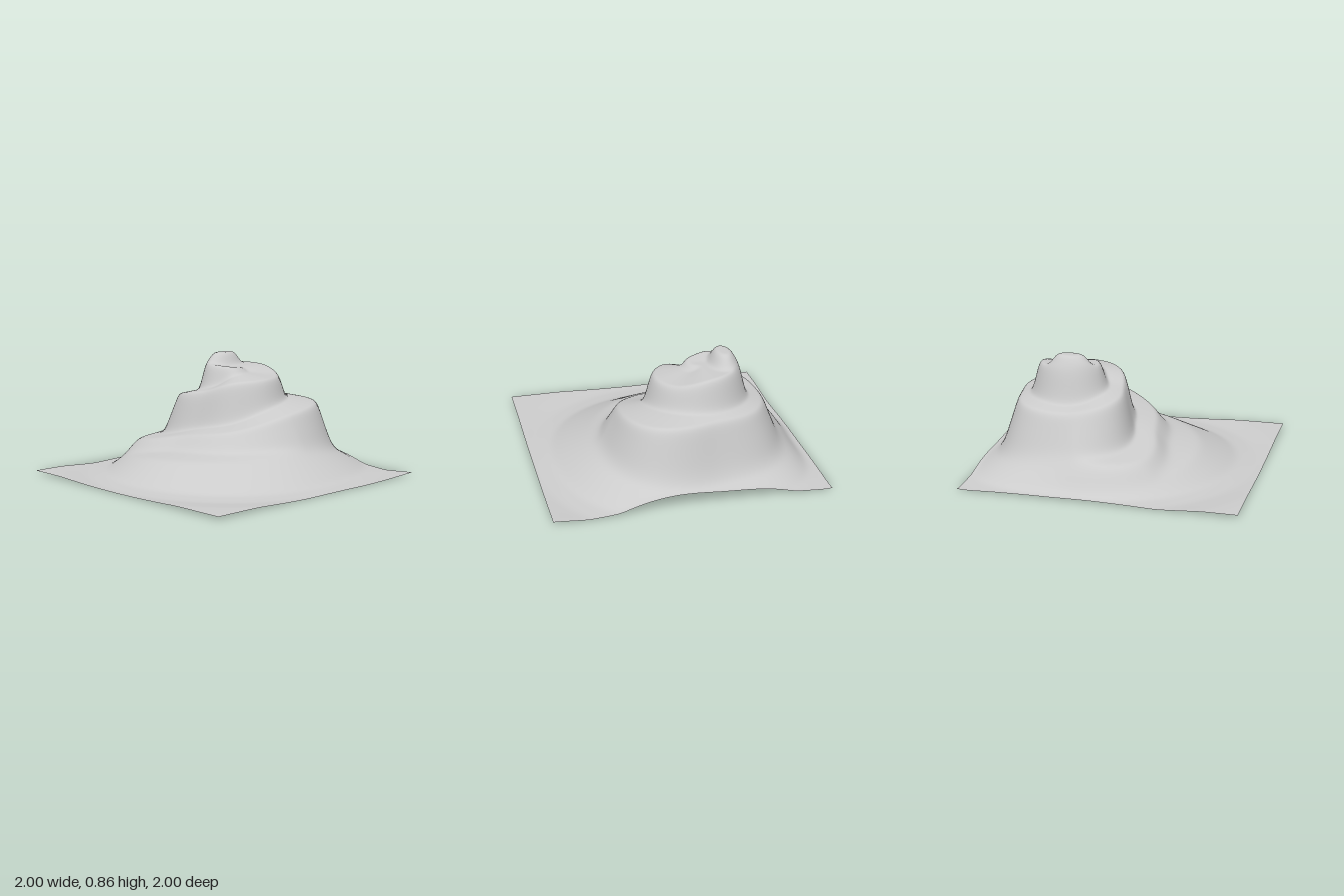
import * as THREE from 'three';

const N = 180; // grid cells per side
const CX = -0.2, CZ = -0.3; // axis of the spiral
const { clamp, lerp, smoothstep } = THREE.MathUtils;

// Spiral ledge rim as [radius, height], every 45 degrees:
// left, front-left, front, front-right, right, back-right, back, back-left
const SPIRAL = [
  // foot slopes and front apron
  [0.69, 0.08], [0.83, 0.09], [0.85, 0.157], [0.82, 0.183], [0.76, 0.2], [0.78, 0.14], [0.63, 0.115], [0.66, 0.14],
  // lower ramp
  [0.6, 0.2], [0.74, 0.21], [0.54, 0.295], [0.57, 0.355], [0.6, 0.46], [0.64, 0.505], [0.495, 0.515], [0.495, 0.51],
  // upper ramp
  [0.45, 0.505], [0.42, 0.56], [0.31, 0.605], [0.315, 0.675], [0.345, 0.695], [0.35, 0.705], [0.335, 0.765], [0.31, 0.78],
  // summit shelf
  [0.265, 0.785], [0.2, 0.79], [0.12, 0.785], [0.1, 0.775], [0.08, 0.765], [0.07, 0.765], [0.06, 0.765], [0.05, 0.765],
  [0.04, 0.765],
];
// Radius where the hill meets the ground, same directions
const BASE = [0.75, 0.93, 1.09, 1.16, 1.05, 1.0, 0.82, 0.86];

const cubic = (a, b, c, d, t) =>
  b + 0.5 * t * (c - a + t * (2 * a - 5 * b + 4 * c - d + t * (3 * (b - c) + d - a)));

function rimAt(s) {
  const i = Math.floor(s), t = s - i;
  const p = (k) => SPIRAL[clamp(k, 0, SPIRAL.length - 1)];
  return [0, 1].map((c) => cubic(p(i - 1)[c], p(i)[c], p(i + 1)[c], p(i + 2)[c], t));
}

function baseAt(s) {
  const i = Math.floor(s), p = (k) => BASE[(k + 8) % 8];
  return cubic(p(i - 1), p(i), p(i + 1), p(i + 2), s - i);
}

// Radial profile through every turn of the spiral, from axis to ground
function profileAt(s) {
  const turns = [3, 2, 1, 0];
  const rims = turns.map((turn) => rimAt(s + turn * 8));
  const pts = [[0, 0.765]];
  rims.forEach((rim, k) => {
    pts.push(rim);
    const next = rims[k + 1];
    if (!next) return;
    const drop = rim[1] - next[1];
    if (drop <= 0) return;
    // foot of the wall: broad on the lower turns, steep on the upper ones
    const steep = smoothstep(s + turns[k] * 8, 16, 18);
    const width = lerp(0.3 * drop + 0.05, 0.12 * drop + 0.025, steep);
    const wall = Math.min(width, 0.8 * (next[0] - rim[0]));
    pts.push([rim[0] + wall, next[1] + Math.min(0.035, drop * 0.45)]);
  });
  const b = baseAt(s);
  pts.push([b, 0.015], [b + 0.15, 0], [b + 0.35, 0.02], [9, 0.02]);
  return pts;
}

function heightAt(x, z) {
  const dx = x - CX, dz = z - CZ, r = Math.hypot(dx, dz);
  const turn = (Math.atan2(dz, -dx) / (Math.PI * 2) + 1) % 1;
  const pts = profileAt(turn * 8);
  let i = 0;
  while (i < pts.length - 2 && r > pts[i + 1][0]) i++;
  const [r0, y0] = pts[i], [r1, y1] = pts[i + 1];
  const y = lerp(y0, y1, clamp((r - r0) / Math.max(r1 - r0, 1e-4), 0, 1));
  // knob on the summit
  const d = Math.hypot((x + 0.365) / 0.1, (z + 0.355) / 0.165);
  return lerp(y, 0.866, 1 - smoothstep(d, 0.5, 1.1));
}

// Softens ledge edges by averaging neighbouring heights, repeatedly
function soften(h, passes) {
  const n = N + 1;
  for (let p = 0; p < passes; p++) {
    const src = h, at = (i, j) => src[clamp(j, 0, N) * n + clamp(i, 0, N)];
    h = src.map((_, k) => {
      const i = k % n, j = Math.floor(k / n);
      let sum = 0;
      for (let a = -1; a <= 1; a++)
        for (let b = -1; b <= 1; b++) sum += at(i + a, j + b) * (2 - Math.abs(a)) * (2 - Math.abs(b));
      return sum / 16;
    });
  }
  return h;
}

export function createModel() {
  const group = new THREE.Group();
  group.name = 'terrain';

  // Square sheet raised into a hill with a winding ledge
  const geometry = new THREE.PlaneGeometry(2, 2, N, N).rotateX(-Math.PI / 2);
  const pos = geometry.attributes.position;
  const raw = Array.from({ length: pos.count }, (_, k) => heightAt(pos.getX(k), pos.getZ(k)));
  const crisp = soften(raw, 3);
  const smooth = soften(crisp, 10);
  // lower slopes are worn smoother than the ledges above
  const heights = crisp.map((y, k) => lerp(smooth[k], y, smoothstep(smooth[k], 0.15, 0.38)));
  const low = heights.reduce((a, b) => Math.min(a, b));
  heights.forEach((y, k) => pos.setY(k, y - low));
  geometry.computeVertexNormals();

  const material = new THREE.MeshStandardMaterial({ color: 0xcccccc, side: THREE.DoubleSide });
  const hill = new THREE.Mesh(geometry, material);
  hill.name = 'spiralHill';
  group.add(hill);
  return group;
}
